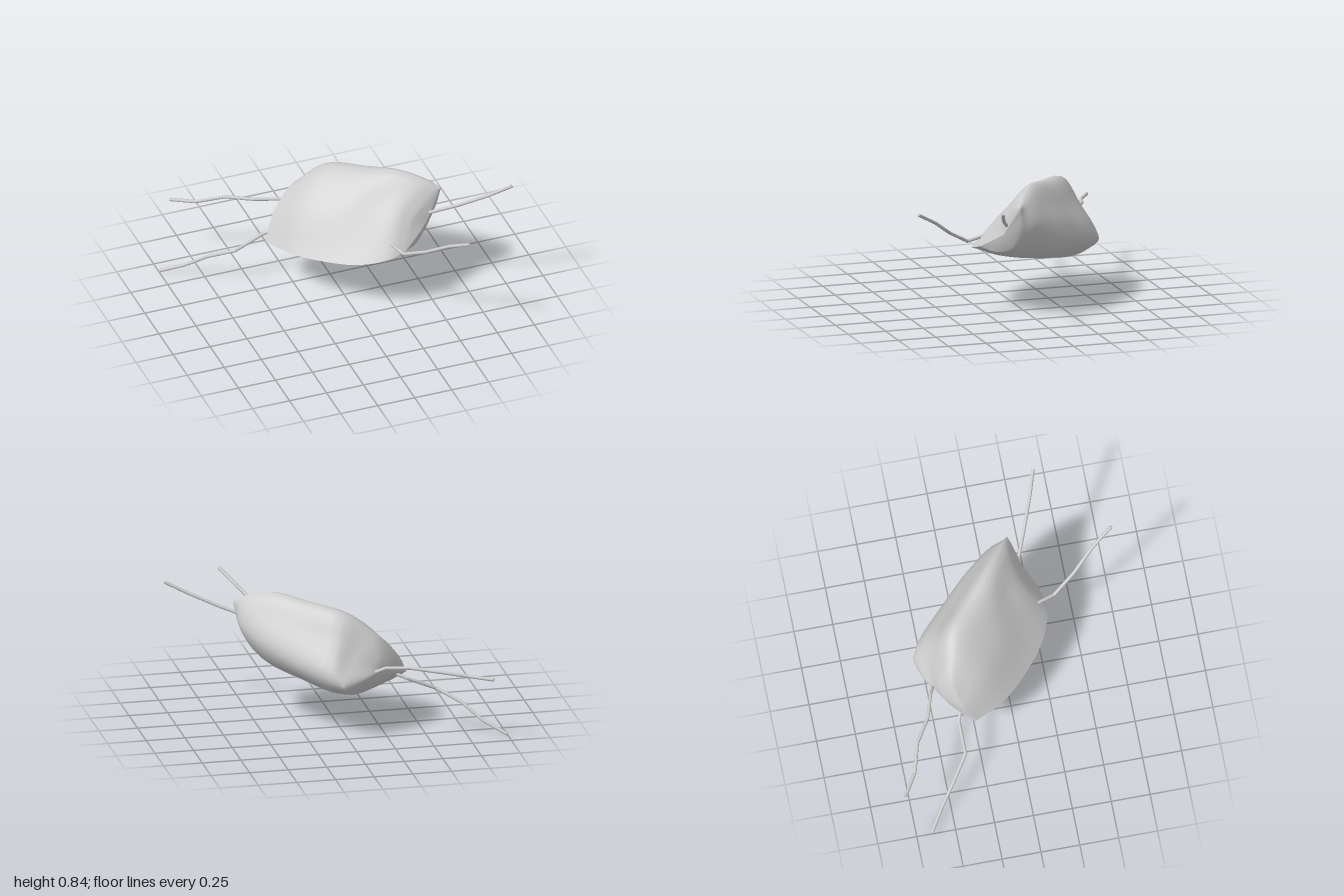
import * as THREE from 'three';
import { toCreasedNormals } from 'three/addons/utils/BufferGeometryUtils.js';

const V = (p) => new THREE.Vector3(...p);
const material = new THREE.MeshStandardMaterial({ color: 0xcccccc, roughness: 0.8 });

// Rails running along the body, each from the rear end to the front end.
const rails = {
  frontEdge: [[-0.43, 0.34, -0.26], [-0.34, 0.35, -0.07], [-0.2, 0.36, 0.09], [0, 0.38, 0.25], [0.19, 0.42, 0.32], [0.3, 0.45, 0.305]],
  frontFace: [[-0.36, 0.48, -0.33], [-0.2, 0.62, -0.2], [0, 0.66, -0.04], [0.2, 0.68, 0.07], [0.32, 0.67, 0.16], [0.38, 0.61, 0.21]],
  ridge: [[-0.19, 0.645, -0.4], [0, 0.785, -0.34], [0.2, 0.82, -0.17], [0.38, 0.845, -0.01], [0.53, 0.8, 0.1], [0.6, 0.755, 0.14]],
  backFace: [[-0.02, 0.52, -0.485], [0.06, 0.62, -0.44], [0.26, 0.67, -0.27], [0.43, 0.72, -0.1], [0.57, 0.73, 0.05], [0.595, 0.71, 0.13]],
  backBulge: [[0.04, 0.37, -0.575], [0.13, 0.41, -0.525], [0.32, 0.47, -0.33], [0.485, 0.55, -0.14], [0.58, 0.61, 0.03], [0.575, 0.62, 0.12]],
  bottomBack: [[-0.03, 0.285, -0.48], [0.08, 0.285, -0.4], [0.22, 0.32, -0.24], [0.38, 0.37, -0.08], [0.45, 0.41, 0.05], [0.48, 0.46, 0.15]],
  bottom: [[-0.3, 0.31, -0.33], [-0.12, 0.305, -0.18], [0, 0.335, -0.03], [0.2, 0.365, 0.1], [0.33, 0.385, 0.17], [0.39, 0.43, 0.23]],
};

// Rings that close an end: they shrink to its centre and dome outward by bulge.
function capRings(rim, centre, bulge) {
  return [0.12, 0.3, 0.6, 1].map((t) => rim.map((p) =>
    p.clone().lerp(V(centre), t).addScaledVector(V(bulge), 1 - (1 - t) ** 2)));
}

// Loft through the rails; the ring is left open at the front edge so it stays sharp.
function createBody() {
  const stations = 20, sides = 42;
  const curves = Object.values(rails).map((r) => new THREE.CatmullRomCurve3(r.map(V)));
  const middle = [];
  for (let i = 0; i <= stations; i++) {
    const pts = curves.map((c) => c.getPoint(i / stations));
    pts.push(pts[0].clone());
    middle.push(new THREE.CatmullRomCurve3(pts).getPoints(sides));
  }
  const rings = [
    ...capRings(middle[0], [-0.17, 0.43, -0.42], [-0.045, 0, -0.055]).reverse(),
    ...middle,
    ...capRings(middle[stations], [0.45, 0.56, 0.2], [0.025, 0, 0.005]),
  ];
  const positions = [];
  const tri = (a, b, c) => {
    if (a.equals(b) || b.equals(c) || c.equals(a)) return;
    [a, b, c].forEach((p) => positions.push(p.x, p.y, p.z));
  };
  for (let i = 0; i < rings.length - 1; i++) {
    const a = rings[i], b = rings[i + 1];
    for (let j = 0; j < sides; j++) {
      tri(a[j], b[j], b[j + 1]);
      tri(a[j], b[j + 1], a[j + 1]);
    }
  }
  const geometry = new THREE.BufferGeometry();
  geometry.setAttribute('position', new THREE.Float32BufferAttribute(positions, 3));
  const body = new THREE.Mesh(toCreasedNormals(geometry, Math.PI / 6), material);
  body.name = 'body';
  return body;
}

// Bent strand of straight segments joined by small balls.
function createStrand(name, path) {
  const radius = 0.011;
  const strand = new THREE.Group();
  strand.name = name;
  const points = path.map(V);
  for (let i = 1; i < points.length; i++) {
    const a = points[i - 1], b = points[i];
    const dir = b.clone().sub(a);
    const segment = new THREE.Mesh(new THREE.CylinderGeometry(radius, radius, dir.length(), 8), material);
    segment.position.copy(a).add(b).multiplyScalar(0.5);
    segment.quaternion.setFromUnitVectors(new THREE.Vector3(0, 1, 0), dir.normalize());
    segment.name = 'strandSegment';
    strand.add(segment);
    if (i < points.length - 1) {
      const joint = new THREE.Mesh(new THREE.SphereGeometry(radius, 8, 6), material);
      joint.position.copy(b);
      joint.name = 'strandJoint';
      strand.add(joint);
    }
  }
  return strand;
}

const strands = {
  rearLowerStrand: [[-0.34, 0.36, -0.34], [-0.41, 0.33, -0.365], [-0.6, 0.25, -0.36], [-0.74, 0.18, -0.46], [-0.86, 0.08, -0.56], [-0.995, 0.01, -0.652]],
  rearUpperStrand: [[-0.18, 0.43, -0.49], [-0.24, 0.46, -0.515], [-0.39, 0.465, -0.56], [-0.55, 0.46, -0.66], [-0.73, 0.435, -0.71], [-0.875, 0.43, -0.8]],
  frontLeftStrand: [[0.5, 0.625, 0.195], [0.67, 0.685, 0.265], [0.85, 0.76, 0.335], [0.99, 0.828, 0.382]],
  frontRightStrand: [[0.22, 0.495, 0.26], [0.26, 0.48, 0.375], [0.35, 0.565, 0.52], [0.46, 0.67, 0.66], [0.545, 0.75, 0.797]],
};

export function createModel() {
  const model = new THREE.Group();
  model.name = 'boulderWithStrands';
  model.add(createBody());
  for (const [name, path] of Object.entries(strands)) model.add(createStrand(name, path));
  return model;
}
